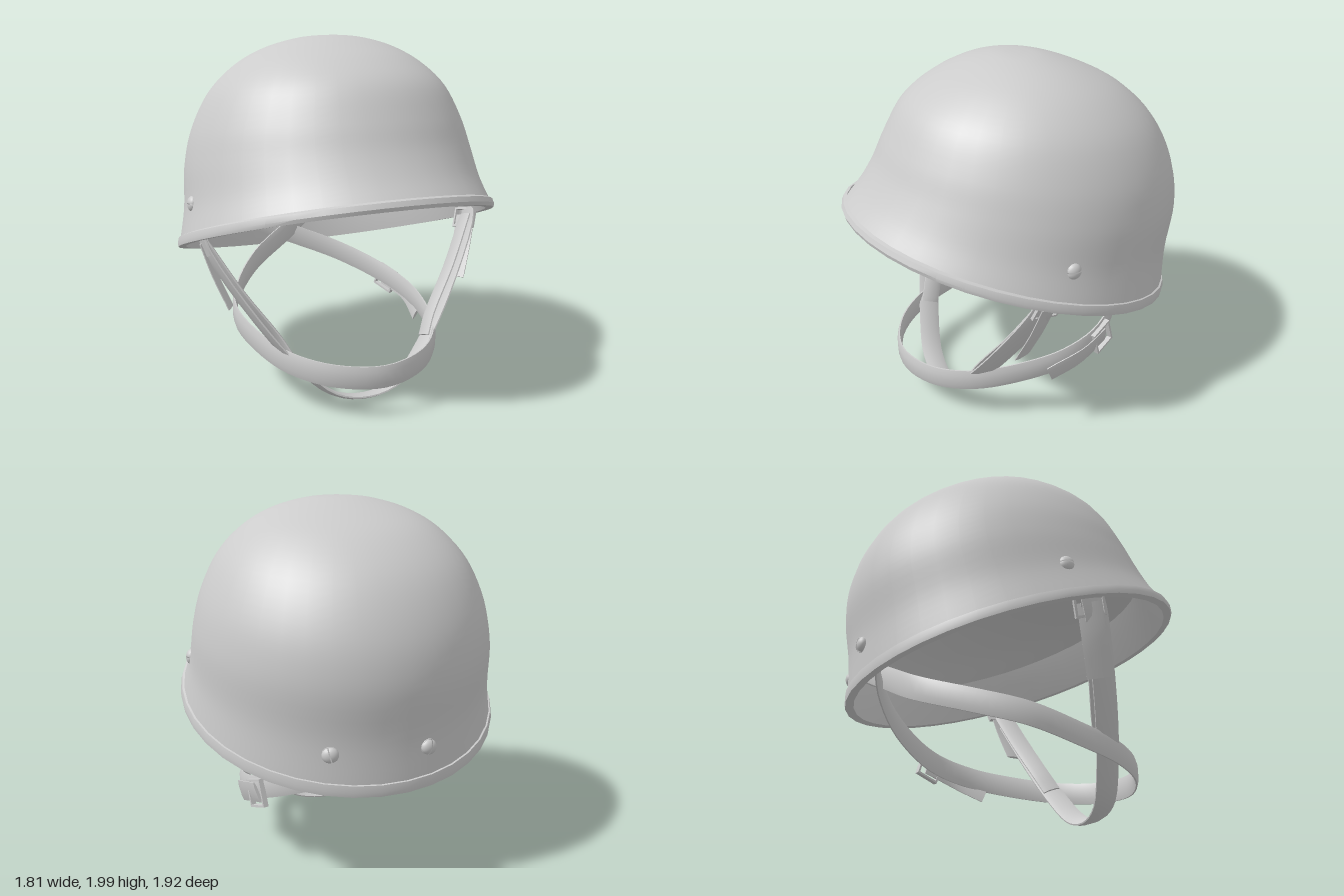
import * as THREE from 'three';
import { toCreasedNormals } from 'three/addons/utils/BufferGeometryUtils.js';

const V = (x, y, z) => new THREE.Vector3(x, y, z);
const material = new THREE.MeshStandardMaterial({ color: 0xcccccc, side: THREE.DoubleSide });

function add(parent, name, geometry) {
  const mesh = new THREE.Mesh(geometry, material);
  mesh.name = name;
  parent.add(mesh);
  return mesh;
}

// Skin over closed rows of points.
function loft(rows, crease = 0.6) {
  const n = rows[0].length, pos = [], idx = [];
  rows.forEach(r => r.forEach(p => pos.push(p.x, p.y, p.z)));
  for (let i = 0; i < rows.length - 1; i++) {
    for (let j = 0; j < n; j++) {
      const k = (j + 1) % n, a = i * n + j, b = i * n + k;
      idx.push(a, b, b + n, a, b + n, a + n);
    }
  }
  const g = new THREE.BufferGeometry();
  g.setAttribute('position', new THREE.Float32BufferAttribute(pos, 3));
  g.setIndex(idx);
  return toCreasedNormals(g, crease);
}

// Tilted oval from its front point, back point and half width.
function oval([zf, yf, zb, yb, w], n = 40) {
  return Array.from({ length: n }, (_, j) => {
    const t = j / n * Math.PI * 2, c = Math.cos(t);
    return V(w * Math.sin(t), (yf + yb) / 2 + (yf - yb) / 2 * c, (zf + zb) / 2 + (zf - zb) / 2 * c);
  });
}

// Smooth the oval parameters from key to key.
function smoothOvals(keys, steps) {
  const front = new THREE.CatmullRomCurve3(keys.map(k => V(k[0], k[1], k[4])));
  const back = new THREE.CatmullRomCurve3(keys.map(k => V(k[2], k[3], 0)));
  return Array.from({ length: steps + 1 }, (_, i) => {
    const f = front.getPoint(i / steps), b = back.getPoint(i / steps);
    return oval([f.x, f.y, b.x, b.y, Math.max(f.z, 0)]);
  });
}

// Flat webbing with a lens-shaped section; hint is the direction of its width.
function strap(points, width, hint, steps = 40, thick = 0.026) {
  const curve = new THREE.CatmullRomCurve3(points.map(p => V(...p)));
  const rows = [];
  for (let i = 0; i <= steps; i++) {
    const p = curve.getPoint(i / steps), t = curve.getTangent(i / steps);
    const w = hint.clone().addScaledVector(t, -hint.dot(t)).normalize();
    const d = t.clone().cross(w);
    const row = [[-1, -0.3], [-0.5, -1], [0.5, -1], [1, -0.3], [1, 0.3], [0.5, 1], [-0.5, 1], [-1, 0.3]].map(
      ([a, b]) => p.clone().addScaledVector(w, a * width / 2).addScaledVector(d, b * thick / 2));
    const cap = row.map(() => p.clone());
    if (i === 0) rows.push(cap);
    rows.push(row);
    if (i === steps) rows.push(cap);
  }
  return loft(rows, 0.9);
}

// Rectangular wire buckle: local x runs along the strap, y across it.
function buckle(parent, name, at, along, across, w, h) {
  const rect = (x, y) => [[-x, -y], [x, -y], [x, y], [-x, y]].map(p => new THREE.Vector2(...p));
  const shape = new THREE.Shape(rect(w / 2, h / 2));
  shape.holes.push(new THREE.Path(rect(w / 2 - 0.012, h / 2 - 0.012).reverse()));
  const g = new THREE.ExtrudeGeometry(shape, { depth: 0.03, bevelEnabled: false });
  g.translate(0, 0, -0.015);
  const x = along.clone().normalize(), y = across.clone().addScaledVector(x, -across.dot(x)).normalize();
  const m = new THREE.Matrix4().makeBasis(x, y, x.clone().cross(y)).setPosition(at);
  add(parent, name, g.applyMatrix4(m));
}

// Slotted domed rivet: two half domes on a disc.
function rivet(parent, at, normal) {
  const group = new THREE.Group();
  group.name = 'rivet';
  for (const s of [0, 1]) {
    const half = new THREE.SphereGeometry(0.04, 10, 6, s * Math.PI, Math.PI, 0, Math.PI / 2);
    half.scale(1, 0.7, 1).translate(0, 0, s ? -0.003 : 0.003);
    add(group, 'rivetHalf', half);
  }
  add(group, 'rivetBase', new THREE.CylinderGeometry(0.042, 0.042, 0.03, 20)).position.y = -0.01;
  group.quaternion.setFromUnitVectors(V(0, 1, 0), normal.normalize());
  group.rotateY(Math.PI / 2);
  group.position.copy(at);
  parent.add(group);
}

export function createModel() {
  const model = new THREE.Group();
  model.name = 'helmet';

  // Outer shell: front z, y, back z, y, half width
  add(model, 'shell', loft(smoothOvals([
    [0.945, 1.21, -0.908, 0.62, 0.89],
    [0.85, 1.32, -0.92, 0.85, 0.85],
    [0.77, 1.44, -0.96, 1.13, 0.828],
    [0.70, 1.58, -0.93, 1.36, 0.785],
    [0.59, 1.755, -0.81, 1.61, 0.685],
    [0.43, 1.875, -0.62, 1.795, 0.54],
    [0.25, 1.955, -0.40, 1.91, 0.37],
    [0.12, 1.99, -0.18, 1.983, 0.18],
    [0.05, 1.999, -0.07, 1.997, 0.07],
    [0, 2, 0, 2, 0],
  ], 45), 1));

  // Rolled edge
  add(model, 'rim', loft([
    [0.905, 1.225, -0.87, 0.655, 0.855],
    [0.915, 1.18, -0.87, 0.585, 0.86],
    [0.957, 1.19, -0.915, 0.575, 0.903],
    [0.962, 1.21, -0.92, 0.60, 0.905],
    [0.95, 1.235, -0.918, 0.635, 0.896],
    [0.93, 1.24, -0.90, 0.64, 0.88],
  ].map(k => oval(k))));

  // Inner wall and the shallow padded crown it carries
  add(model, 'innerWall', loft([
    [0.76, 1.385, -0.885, 0.81, 0.80], [0.82, 1.30, -0.87, 0.71, 0.82], [0.915, 1.18, -0.87, 0.585, 0.86],
  ].map(k => oval(k))));
  add(model, 'crownLiner', loft(smoothOvals([
    [0, 1.36, 0, 1.36, 0], [0.3, 1.42, -0.36, 1.24, 0.34],
    [0.57, 1.42, -0.67, 1.03, 0.61], [0.76, 1.385, -0.885, 0.81, 0.80],
  ], 16), 1));

  // Throat strap running from side to side
  const side = [[0.83, 0.97, 0.17], [0.80, 0.87, 0.205], [0.58, 0.50, 0.33], [0.39, 0.25, 0.41], [0.2, 0.075, 0.465]];
  const mirrored = side.map(([x, y, z]) => [-x, y, z]).reverse();
  add(model, 'throatStrap', strap([...side, [0, 0.03, 0.48], ...mirrored], 0.13, V(0, 0.04, 0.13)));

  for (const s of [1, -1]) {
    // Doubled strap, loose tail and buckle on each side
    add(model, 'strapReturn', strap([[s * 0.81, 0.93, 0.17], [s * 0.645, 0.65, 0.265], [s * 0.47, 0.40, 0.35],
      [s * 0.41, 0.29, 0.395]], 0.11, V(0, 0.04, 0.13), 12));
    add(model, 'strapTail', strap([[s * 0.82, 0.92, 0.16], [s * 0.77, 0.75, 0.20], [s * 0.70, 0.57, 0.25]],
      0.125, V(s * 0.06, 0.03, 0.11), 8, 0.016));
    buckle(model, 'sideBuckle', V(s * 0.81, 0.91, 0.165), V(-s * 0.1, -0.3, 0.08), V(s * 0.03, 0.04, 0.13), 0.12, 0.16);

    // Rivets on the sides and back
    rivet(model, V(s * 0.838, 1.11, 0.04), V(s, 0.1, 0));
    rivet(model, V(s * 0.25, 0.80, -0.88), V(s * 0.28, 0, -1));
  }

  // Chin strap with ends crossing at the nape
  add(model, 'chinStrap', strap([
    [-0.31, 0.81, -0.82], [0, 0.68, -0.74], [0.3, 0.56, -0.58], [0.52, 0.44, -0.33], [0.58, 0.375, -0.08],
    [0.54, 0.325, 0.2], [0.44, 0.285, 0.45], [0.26, 0.255, 0.63], [0, 0.24, 0.71], [-0.26, 0.255, 0.63],
    [-0.44, 0.285, 0.45], [-0.54, 0.33, 0.2], [-0.58, 0.395, -0.08], [-0.49, 0.465, -0.33], [-0.29, 0.575, -0.58],
    [0, 0.735, -0.71], [0.21, 0.86, -0.82],
  ], 0.125, V(0, 1, 0), 80));
  add(model, 'chinStrapTail', strap([[0.535, 0.42, -0.36], [0.595, 0.365, -0.18], [0.575, 0.28, 0.02]],
    0.12, V(0.25, 1, 0), 8, 0.016));
  buckle(model, 'chinBuckle', V(0.535, 0.41, -0.34), V(-0.12, 0.1, -0.28), V(0, 1, 0), 0.145, 0.155);

  return model;
}
